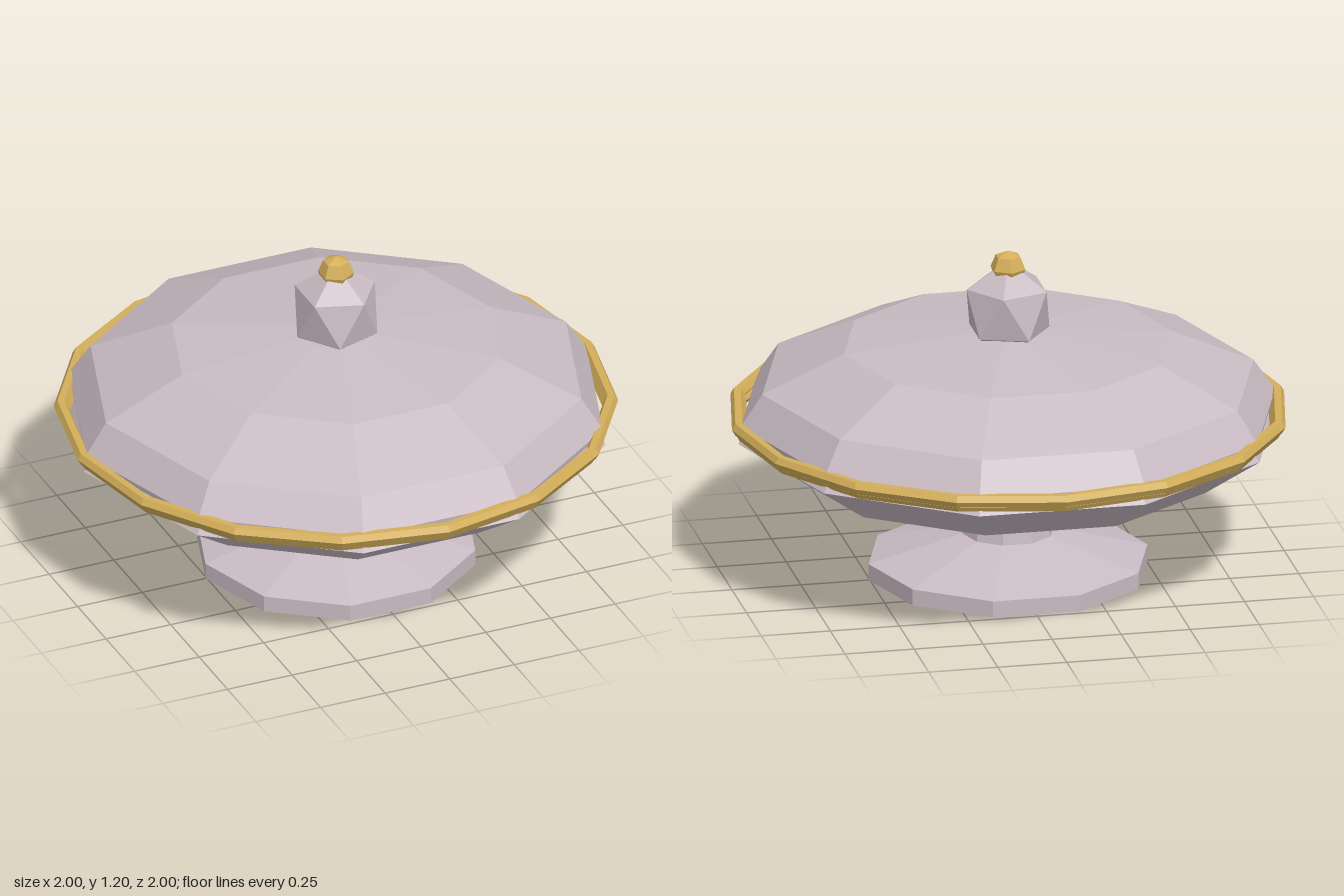
import * as THREE from 'three';
import { ConvexGeometry } from 'three/addons/geometries/ConvexGeometry.js';

export function createModel() {
  const model = new THREE.Group();
  model.name = 'lidded footed dish';

  const porcelain = new THREE.MeshStandardMaterial({ color: 0xc9bbc3, flatShading: true });
  porcelain.name = 'pale mauve porcelain';
  const gold = new THREE.MeshStandardMaterial({ color: 0xd4af5a, flatShading: true });
  gold.name = 'gold';

  const add = (name, geometry, material, y = 0) => {
    const mesh = new THREE.Mesh(geometry, material);
    mesh.name = name;
    mesh.position.y = y;
    model.add(mesh);
    return mesh;
  };

  // Ten-sided turned part with a corner on the x axis
  const turned = (name, profile) => add(name, new THREE.LatheGeometry(
    profile.map(([r, y]) => new THREE.Vector2(r, y)), 10, Math.PI / 2), porcelain);

  // Foot and stem
  turned('foot', [[0, 0], [0.505, 0], [0.505, 0.06], [0.165, 0.15], [0.148, 0.255], [0, 0.255]]);

  // Bowl, closed under the lid
  turned('bowl', [[0, 0.25], [0.148, 0.255], [0.258, 0.328], [0.765, 0.4],
    [0.975, 0.545], [0.96, 0.565], [0.9, 0.58], [0, 0.58]]);

  // Domed lid
  turned('lid', [[0, 0.59], [0.965, 0.59], [0.968, 0.61], [0.89, 0.725],
    [0.595, 0.855], [0.13, 0.9], [0, 0.905]]);

  // Gold bands at the seam
  const band = (name, radius, tube, y) => add(name,
    new THREE.TorusGeometry(radius, tube, 6, 16).rotateX(Math.PI / 2), gold, y);
  band('lidBand', 0.975, 0.025, 0.6);
  band('bowlBand', 0.963, 0.02, 0.576);

  // Faceted knob: two staggered pentagons between two poles
  const points = [new THREE.Vector3(0, 0.18, 0), new THREE.Vector3(0, -0.18, 0)];
  for (let i = 0; i < 5; i++) {
    const a = i * Math.PI * 0.4;
    points.push(new THREE.Vector3(0.15 * Math.cos(a), 0.08, 0.15 * Math.sin(a)));
    points.push(new THREE.Vector3(-0.15 * Math.cos(a), -0.08, -0.15 * Math.sin(a)));
  }
  add('knob', new ConvexGeometry(points), porcelain, 0.985);

  // Gold bead on the knob
  add('finialBead', new THREE.SphereGeometry(0.065, 6, 4).rotateY(Math.PI / 2), gold, 1.136);

  return model;
}
